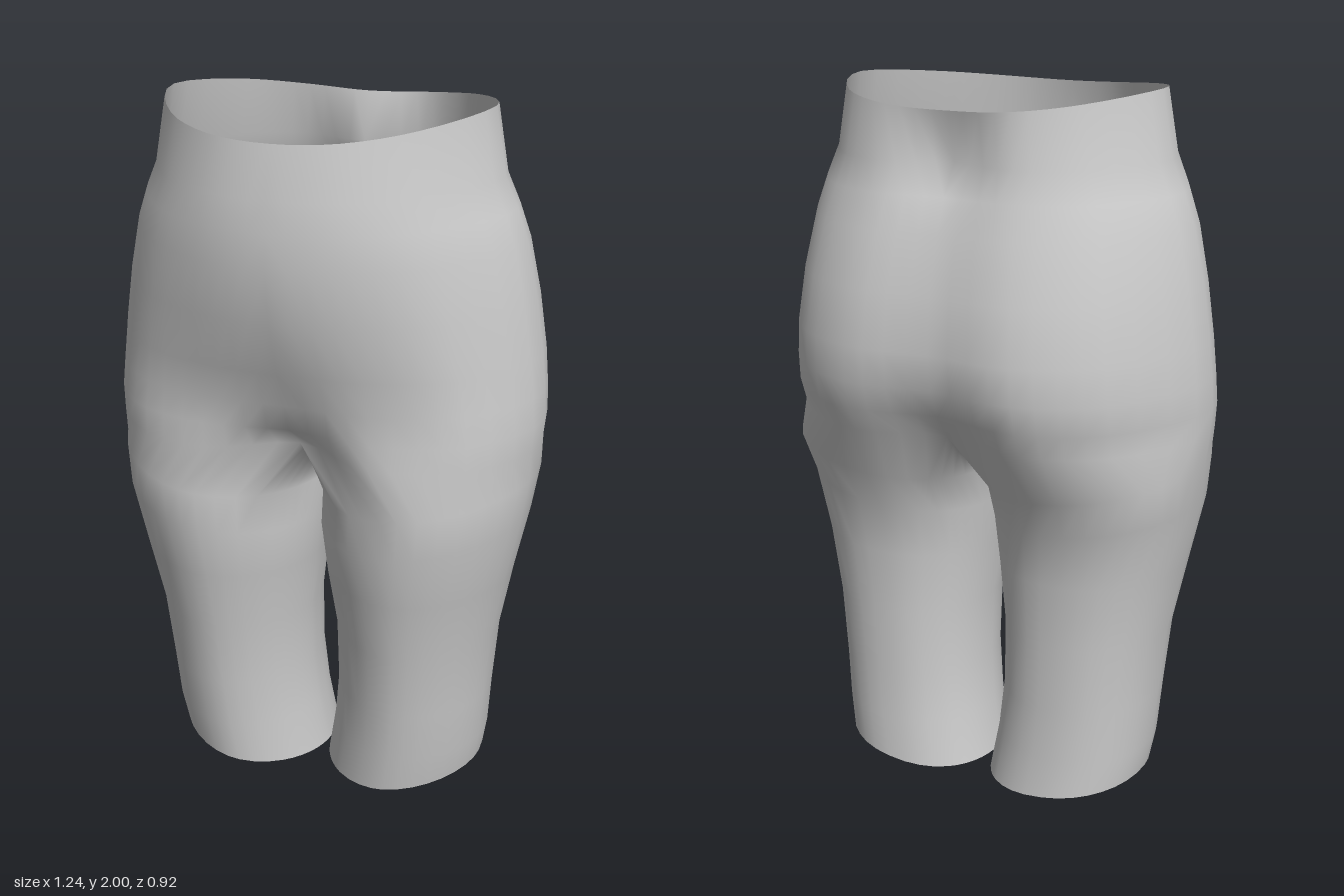
import * as THREE from 'three';
import { mergeVertices } from 'three/addons/utils/BufferGeometryUtils.js';

const OUTER = 24; // steps round the outside, front centre to back centre
const INNER = 14; // steps along the inside of the thigh, back to front
const V = (x, y, z) => new THREE.Vector3(x, y, z);
const lerp = THREE.MathUtils.lerp;

// Hips, top to bottom: height, front centre z, front z, half width, back z, back centre z,
// and how far the section has swelled towards the shape of the thighs
const HIPS = [
  [1.955, 0.425, 0.395, 0.45, -0.322, -0.32, 0],
  [1.82, 0.45, 0.415, 0.482, -0.335, -0.285, 0],
  [1.74, 0.455, 0.42, 0.518, -0.358, -0.342, 0],
  [1.65, 0.46, 0.42, 0.55, -0.388, -0.38, 0],
  [1.5, 0.442, 0.405, 0.582, -0.432, -0.425, 0.1],
  [1.35, 0.39, 0.37, 0.605, -0.456, -0.443, 0.4],
  [1.25, 0.345, 0.35, 0.615, -0.453, -0.43, 0.7],
  [1.17, 0.315, 0.347, 0.62, -0.437, -0.39, 0.9],
  [1.1, 0.23, 0.347, 0.615, -0.403, -0.34, 1],
];

// Leg, top to bottom: outer height, inner height, inner x, outer x, back z, front z
const LEG = [
  [1.01, 0.93, 0.002, 0.605, -0.345, 0.35],
  [0.89, 0.82, 0.003, 0.59, -0.29, 0.345],
  [0.7, 0.68, 0.018, 0.55, -0.267, 0.315],
  [0.5, 0.5, 0.042, 0.512, -0.26, 0.275],
  [0.3, 0.3, 0.043, 0.495, -0.258, 0.25],
  [0.15, 0.15, 0.028, 0.485, -0.262, 0.235],
  [0.06, 0.005, 0.003, 0.47, -0.272, 0.222],
];

// Half of a symmetrical hip section, from front centre round the side to the back
function hipArc([y, frontMid, front, w, back, backMid, swell], rim) {
  const half = [
    V(0, y, frontMid), V(0.38 * w, y, front),
    V(lerp(0.73, 0.775, swell) * w, y, front * lerp(0.69, 0.78, swell)),
    V(w, y, 0),
    V(0.75 * w, y, back * 0.745), V(0.4 * w, y, back), V(0, y, backMid),
  ];
  const mirrored = half.slice(1, 6).reverse().map((p) => V(-p.x, p.y, p.z));
  const curve = new THREE.CatmullRomCurve3([...half, ...mirrored], true);
  const points = [];
  for (let i = 0; i <= OUTER; i++) {
    const p = curve.getPoint((0.5 * i) / OUTER);
    if (i === 0 || i === OUTER) p.x = 0;
    if (rim) p.y += 0.045 * (p.x / w) ** 2; // waist rises at the sides
    points.push(p);
  }
  return points;
}

// Closed leg section, squarer at the back, in step with the hip arc and the crotch seam
function legRing([yOut, yIn, xIn, xOut, back, front]) {
  const points = [];
  for (let i = 0; i <= OUTER + INNER; i++) {
    const deg = i <= OUTER ? 130 - (260 * i) / OUTER : -130 - (100 * (i - OUTER)) / INNER;
    const a = THREE.MathUtils.degToRad(deg);
    const power = Math.sin(a) > 0 ? 1.08 : 0.9;
    const round = (v) => 0.5 + 0.5 * Math.sign(v) * Math.abs(v) ** power;
    const across = round(Math.cos(a));
    points.push(V(
      lerp(xIn, xOut, across),
      lerp(yIn, yOut, across ** 1.5),
      lerp(back, front, round(Math.sin(a))),
    ));
  }
  return points;
}

// Adds the faces between successive rows of points, for both sides of the body
function loft(rows, out) {
  const tri = (a, b, c) => {
    for (const p of [a, b, c]) out.push(p.x, p.y, p.z);
    for (const p of [a, c, b]) out.push(-p.x, p.y, p.z);
  };
  for (let r = 0; r < rows.length - 1; r++) {
    for (let j = 0; j < rows[r].length - 1; j++) {
      const a = rows[r][j], b = rows[r + 1][j], c = rows[r + 1][j + 1], d = rows[r][j + 1];
      tri(a, b, c);
      tri(a, c, d);
    }
  }
}

export function createModel() {
  const positions = [];

  // Waist, belly and buttocks
  const hipRows = HIPS.map((row, i) => hipArc(row, i === 0));
  loft(hipRows, positions);

  // Crotch seam, running under the body from back to front
  const base = hipRows[hipRows.length - 1];
  const seam = new THREE.CatmullRomCurve3([
    base[OUTER].clone(), V(0, 1.02, -0.25), V(0, 0.99, -0.12),
    V(0, 0.99, 0.02), V(0, 1.03, 0.15), base[0].clone(),
  ]).getPoints(INNER);

  // Legs, open at the hem
  loft([[...base, ...seam.slice(1)], ...LEG.map(legRing)], positions);

  // One continuous smooth skin
  let geometry = new THREE.BufferGeometry();
  geometry.setAttribute('position', new THREE.Float32BufferAttribute(positions, 3));
  geometry = mergeVertices(geometry, 1e-4);
  geometry.computeVertexNormals();

  const body = new THREE.Mesh(
    geometry,
    new THREE.MeshStandardMaterial({ color: 0xcccccc, side: THREE.DoubleSide }),
  );
  body.name = 'hipsAndLegs';

  const group = new THREE.Group();
  group.name = 'lowerBody';
  group.add(body);
  return group;
}
